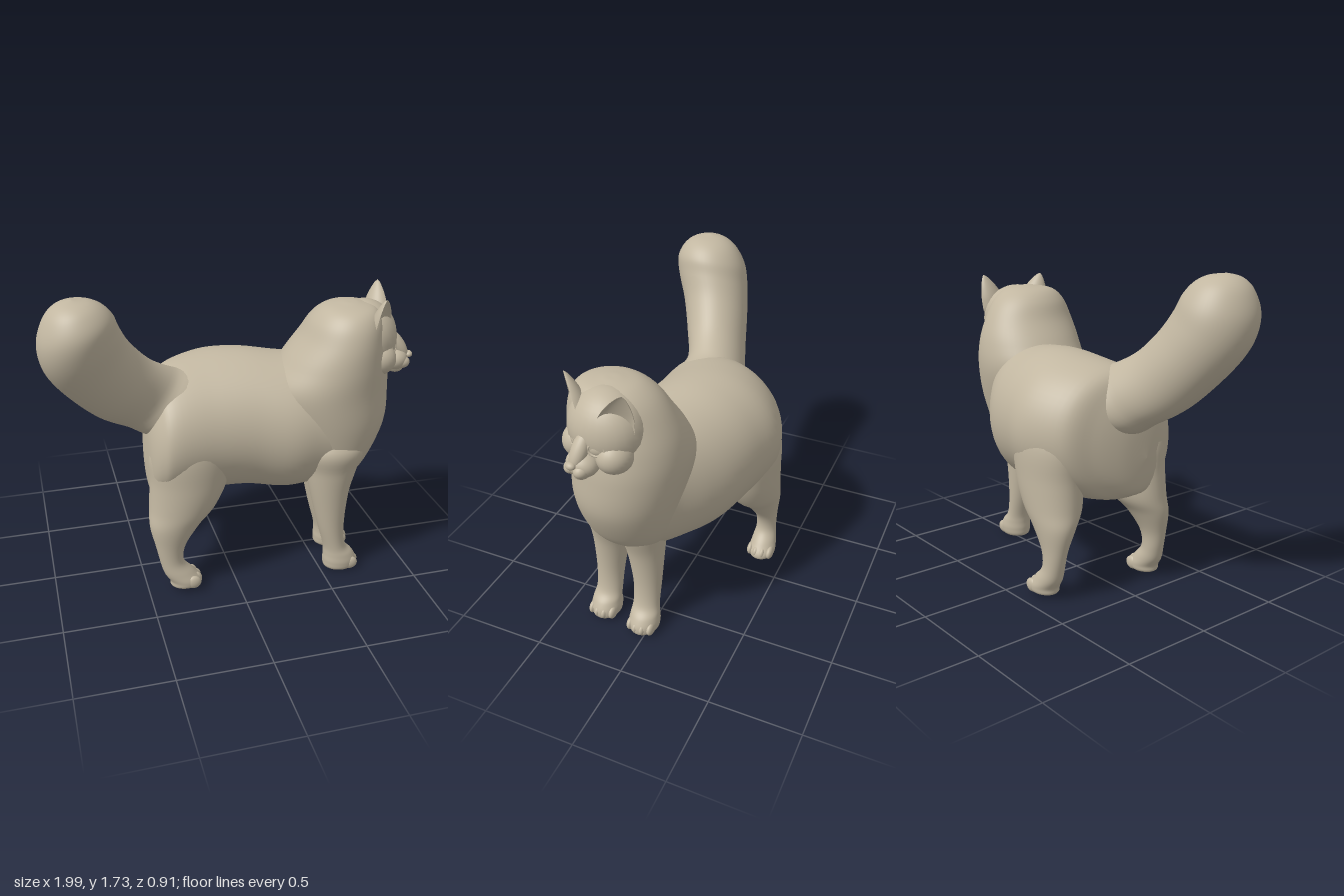
import * as THREE from 'three';

const fur = new THREE.MeshStandardMaterial({ color: 0xc2b7a1 });
fur.name = 'warm beige';

// Smooth interpolation of one number through four neighbouring rows
function spline(a, b, c, d, t) {
  const m = (c - a) / 2, n = (d - b) / 2, t2 = t * t, t3 = t2 * t;
  return (2 * t3 - 3 * t2 + 1) * b + (t3 - 2 * t2 + t) * m + (3 * t2 - 2 * t3) * c + (t3 - t2) * n;
}

// Skin over elliptical sections [x, y, z, radiusU, radiusZ, tilt].
// Tilt 0 is a horizontal section; -PI/2 an upright one across x.
// A negative fold pushes the front half of each section in, making a cup.
function loft(name, rows, fold = 1, sides = 40, steps = 6) {
  const pos = [], index = [], last = rows.length - 1;
  const rings = last * steps;
  for (let i = 0; i <= rings; i++) {
    const k = Math.min(Math.floor(i / steps), last - 1), t = i / steps - k;
    const at = (n) => rows[Math.max(0, Math.min(last, n))];
    const [x, y, z, ru, rz, tilt] = [0, 1, 2, 3, 4, 5].map((c) =>
      spline(at(k - 1)[c], at(k)[c], at(k + 1)[c], at(k + 2)[c], t));
    for (let j = 0; j < sides; j++) {
      const a = (j / sides) * Math.PI * 2;
      let u = Math.cos(a) * Math.max(ru, 0);
      if (u > 0) u *= fold;
      pos.push(x + u * Math.cos(tilt), y + u * Math.sin(tilt), z + Math.sin(a) * Math.max(rz, 0));
    }
  }
  for (let i = 0; i < rings; i++) {
    for (let j = 0; j < sides; j++) {
      const a = i * sides + j, b = i * sides + (j + 1) % sides;
      index.push(a, a + sides, b, b, a + sides, b + sides);
    }
  }
  const geo = new THREE.BufferGeometry();
  geo.setAttribute('position', new THREE.Float32BufferAttribute(pos, 3));
  geo.setIndex(index);
  geo.computeVertexNormals();
  const mesh = new THREE.Mesh(geo, fur);
  mesh.name = name;
  return mesh;
}

function ellipsoid(name, x, y, z, rx, ry, rz) {
  const mesh = new THREE.Mesh(new THREE.SphereGeometry(1, 28, 20), fur);
  mesh.position.set(x, y, z);
  mesh.scale.set(rx, ry, rz);
  mesh.name = name;
  return mesh;
}

// Leg from rows [y, x, outward z, radiusX, radiusZ] with four toes
function leg(name, rows, dx, midZ, side, toe) {
  const g = new THREE.Group();
  g.name = name;
  g.add(loft(name + 'Limb', rows.map(([y, x, z, rx, rz]) => [x + dx, y, midZ + side * z, rx, rz, 0])));
  for (let i = 0; i < 4; i++) {
    const o = (i - 1.5) * 0.04;
    g.add(ellipsoid('toe', toe.x + dx - Math.abs(o) * 0.35, toe.y, midZ + side * toe.z + o, 0.042, 0.038, 0.021));
  }
  return g;
}

function buildHead() {
  const head = new THREE.Group();
  head.name = 'head';
  head.add(ellipsoid('skull', 0, 0, 0, 0.18, 0.2, 0.205));
  head.add(ellipsoid('muzzle', 0.175, -0.125, 0, 0.075, 0.065, 0.085));
  head.add(ellipsoid('chin', 0.185, -0.175, 0, 0.045, 0.032, 0.04));
  const bridge = ellipsoid('noseBridge', 0.185, -0.045, 0, 0.04, 0.1, 0.042);
  bridge.rotation.z = 0.6;
  head.add(bridge, ellipsoid('nose', 0.252, -0.103, 0, 0.022, 0.019, 0.027));
  for (const s of [1, -1]) {
    head.add(ellipsoid('whiskerPad', 0.212, -0.137, s * 0.031, 0.046, 0.036, 0.037));
    head.add(ellipsoid('cheek', 0.07, -0.09, s * 0.11, 0.1, 0.09, 0.09));
    // Eye ball inside an almond lid
    const eye = new THREE.Group();
    eye.name = 'eye';
    eye.position.set(0.157, -0.035, s * 0.076);
    eye.rotation.set(s * -0.15, s * -0.4, 0);
    const lid = new THREE.Mesh(new THREE.TorusGeometry(0.037, 0.007, 10, 32), fur);
    lid.name = 'eyelid';
    lid.rotation.y = Math.PI / 2;
    lid.scale.set(1.1, 0.85, 1);
    eye.add(lid, ellipsoid('eyeball', -0.008, 0, 0, 0.016, 0.031, 0.039));
    head.add(eye);
    // Cupped ear leaning outwards
    const ear = loft('ear', [
      [0, -0.03, 0, 0, 0, 0], [0, 0, 0, 0.075, 0.085, 0], [0, 0.07, 0, 0.068, 0.083, 0],
      [0, 0.14, 0, 0.045, 0.057, 0], [0, 0.195, 0, 0.018, 0.023, 0], [0, 0.215, 0, 0, 0, 0],
    ], -0.4, 32);
    ear.position.set(0.085, 0.05, s * 0.125);
    ear.rotation.set(s * 0.28, s * -0.6, 0);
    head.add(ear);
  }
  head.position.set(0.74, 1.36, 0.13);
  head.rotation.y = -0.28;
  return head;
}

export function createModel() {
  const cat = new THREE.Group();
  cat.name = 'cat';

  // Body: x, bottom, top, right z, left z
  cat.add(loft('body', [
    [-0.465, 0.75, 0.75, 0.1, 0.1], [-0.45, 0.58, 0.98, -0.06, 0.24], [-0.4, 0.53, 1.13, -0.22, 0.32],
    [-0.32, 0.51, 1.22, -0.37, 0.35], [-0.1, 0.5, 1.27, -0.455, 0.34], [0.1, 0.5, 1.28, -0.42, 0.35],
    [0.3, 0.48, 1.26, -0.36, 0.385], [0.45, 0.5, 1.25, -0.28, 0.38], [0.6, 0.53, 1.25, -0.17, 0.37],
    [0.72, 0.62, 1.2, -0.1, 0.32], [0.8, 0.78, 1.1, 0, 0.22], [0.83, 0.93, 0.93, 0.11, 0.11],
  ].map(([x, b, t, r, l]) => [x, (b + t) / 2, (r + l) / 2, (t - b) / 2, (l - r) / 2, -Math.PI / 2]), 1, 56));

  // Chest and neck ruff: y, back x, front x, right z, left z
  cat.add(loft('ruff', [
    [0.53, 0.58, 0.58, 0.13, 0.13], [0.58, 0.47, 0.69, -0.03, 0.29], [0.7, 0.39, 0.79, -0.11, 0.36],
    [0.9, 0.28, 0.88, -0.17, 0.4], [1.1, 0.22, 0.89, -0.21, 0.41], [1.25, 0.3, 0.87, -0.195, 0.41],
    [1.38, 0.39, 0.84, -0.145, 0.395], [1.48, 0.445, 0.82, -0.08, 0.36], [1.54, 0.51, 0.78, 0, 0.3],
    [1.562, 0.6, 0.7, 0.09, 0.2], [1.565, 0.65, 0.65, 0.15, 0.15],
  ].map(([y, b, f, r, l]) => [(b + f) / 2, y, (r + l) / 2, (f - b) / 2, (l - r) / 2, 0]), 1, 56));

  cat.add(buildHead());

  const front = [
    [0, 0.62, 0.125, 0, 0], [0.006, 0.622, 0.125, 0.085, 0.07], [0.05, 0.622, 0.125, 0.098, 0.085],
    [0.1, 0.61, 0.125, 0.085, 0.08], [0.16, 0.583, 0.122, 0.064, 0.074], [0.3, 0.557, 0.12, 0.077, 0.08],
    [0.5, 0.543, 0.11, 0.11, 0.102], [0.65, 0.55, 0.1, 0.145, 0.125], [0.8, 0.56, 0.1, 0.17, 0.14],
    [0.95, 0.56, 0.1, 0, 0],
  ];
  const rear = [
    [0.018, -0.29, 0.31, 0, 0], [0.024, -0.29, 0.31, 0.08, 0.065], [0.06, -0.29, 0.31, 0.09, 0.078],
    [0.11, -0.325, 0.308, 0.085, 0.07], [0.18, -0.363, 0.305, 0.066, 0.058], [0.28, -0.367, 0.3, 0.083, 0.064],
    [0.4, -0.337, 0.28, 0.138, 0.1], [0.5, -0.285, 0.25, 0.185, 0.14], [0.65, -0.245, 0.24, 0.215, 0.155],
    [0.85, -0.23, 0.24, 0.22, 0.15], [1.05, -0.2, 0.22, 0.13, 0.1], [1.14, -0.2, 0.2, 0, 0],
  ];
  cat.add(
    leg('frontLegLeft', front, 0, 0.155, 1, { x: 0.69, y: 0.042, z: 0.125 }),
    leg('frontLegRight', front, 0.03, 0.155, -1, { x: 0.69, y: 0.042, z: 0.125 }),
    leg('rearLegLeft', rear, 0, -0.05, 1, { x: -0.235, y: 0.058, z: 0.31 }),
    leg('rearLegRight', rear, 0.12, -0.05, -1, { x: -0.235, y: 0.058, z: 0.31 }),
  );

  // Bushy raised tail
  cat.add(loft('tail', [
    [-0.2, 1.0, 0.02, 0, 0, 0.95], [-0.28, 1.04, 0.03, 0.2, 0.2, 0.9], [-0.42, 1.1, 0.06, 0.2, 0.17, 0.8],
    [-0.56, 1.19, 0.12, 0.2, 0.175, 0.75], [-0.69, 1.33, 0.18, 0.205, 0.19, 0.65],
    [-0.77, 1.46, 0.23, 0.212, 0.205, 0.5], [-0.8, 1.57, 0.255, 0.198, 0.2, 0.35],
    [-0.806, 1.66, 0.265, 0.148, 0.155, 0.2], [-0.807, 1.71, 0.27, 0.085, 0.09, 0.1],
    [-0.807, 1.73, 0.27, 0, 0, 0],
  ], 1, 48));
  return cat;
}
